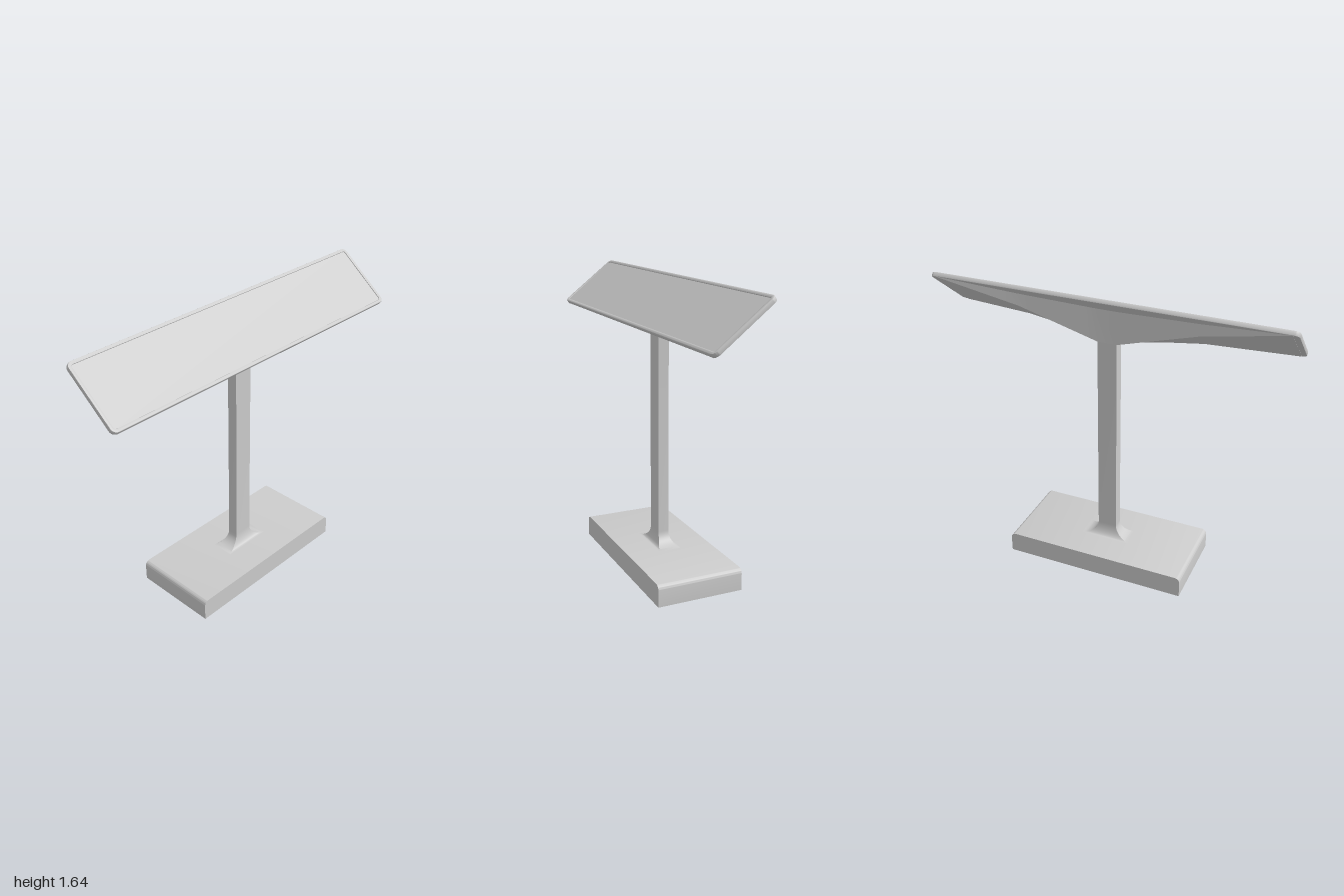
import * as THREE from 'three';
import { toCreasedNormals } from 'three/addons/utils/BufferGeometryUtils.js';

const material = new THREE.MeshStandardMaterial({ color: 0xcccccc });
const TILT = 0.666;                    // slope of the panel about z
const UNDER = { x: 0.0325, y: 1.505 }; // middle of the panel underside
const underY = (x) => UNDER.y - (x - UNDER.x) * Math.tan(TILT);

function mesh(name, geometry, crease = 0.5) {
  const m = new THREE.Mesh(toCreasedNormals(geometry, crease), material);
  m.name = name;
  return m;
}

// Skin a row of four-cornered cross-sections, closing both ends
function loft(sections) {
  const pos = [];
  const quad = (a, b, c, d) => pos.push(...a, ...b, ...c, ...a, ...c, ...d);
  for (let i = 0; i + 1 < sections.length; i++) {
    for (let k = 0; k < 4; k++) {
      const n = (k + 1) % 4;
      quad(sections[i][k], sections[i][n], sections[i + 1][n], sections[i + 1][k]);
    }
  }
  const first = sections[0], last = sections[sections.length - 1];
  quad(first[3], first[2], first[1], first[0]);
  quad(last[0], last[1], last[2], last[3]);
  const g = new THREE.BufferGeometry();
  g.setAttribute('position', new THREE.Float32BufferAttribute(pos, 3));
  g.computeVertexNormals();
  return g;
}

function roundedRect(Type, w, h, r) {
  const s = new Type(), x = w / 2, y = h / 2;
  s.moveTo(-x + r, -y);
  s.lineTo(x - r, -y);
  s.absarc(x - r, -y + r, r, -Math.PI / 2, 0);
  s.absarc(x - r, y - r, r, 0, Math.PI / 2);
  s.absarc(-x + r, y - r, r, Math.PI / 2, Math.PI);
  s.absarc(-x + r, -y + r, r, Math.PI, Math.PI * 1.5);
  return s;
}

// Base block, top edges rounded at its two ends only
function createBase() {
  const z = 0.53, h = 0.123, r = 0.03, w = 0.49;
  const s = new THREE.Shape();
  s.moveTo(-z, 0);
  s.lineTo(z, 0);
  s.lineTo(z, h - r);
  s.absarc(z - r, h - r, r, 0, Math.PI / 2);
  s.absarc(-z + r, h - r, r, Math.PI / 2, Math.PI);
  s.closePath();
  const g = new THREE.ExtrudeGeometry(s, { depth: w, bevelEnabled: false, curveSegments: 10 });
  g.translate(0, 0, -w / 2).rotateY(Math.PI / 2);
  return mesh('base', g);
}

// Rectangular post with a concave flare at the foot
function createPost() {
  const ring = (x, z, y) => [[-x, y, z], [x, y, z], [x, y, -z], [-x, y, -z]];
  const rings = [];
  for (let i = 0; i <= 12; i++) {
    const a = (i / 12) * Math.PI / 2, out = 1 - Math.sin(a);
    rings.push(ring(0.03 + 0.035 * out, 0.055 + 0.09 * out, 0.123 + 0.08 * (1 - Math.cos(a))));
  }
  rings.push(ring(0.03, 0.055, 1.37));
  return mesh('post', loft(rings));
}

// Bow-tie bracket, spreading from the post to the panel ends
function createBracket() {
  // z, left x, left y, right x, right y of the lower edge
  const half = [
    [0.055, -0.03, 1.37, 0.03, 1.37],
    [0.5, -0.06, 1.51, 0.06, 1.42],
    [0.97, -0.12, 1.624, 0.185, 1.384],
  ];
  const steps = 6, rows = [];
  for (let i = 0; i < 2; i++) {
    for (let k = i ? 1 : 0; k <= steps; k++) {
      rows.push(half[i].map((v, j) => THREE.MathUtils.lerp(v, half[i + 1][j], k / steps)));
    }
  }
  const mirrored = rows.map(([z, ...rest]) => [-z, ...rest]).reverse();
  const sections = [...mirrored, ...rows].map(([z, xl, yl, xr, yr]) => [
    [xl, yl, z], [xr, yr, z], [xr, underY(xr) + 0.002, z], [xl, underY(xl) + 0.002, z],
  ]);
  return mesh('bracket', loft(sections), 0.4);
}

// Tilted panel: a thin plate inside a slightly raised, bevelled rim
function createPanel() {
  const panel = new THREE.Group();
  panel.name = 'panel';
  const flat = (g) => g.rotateX(-Math.PI / 2);
  const plate = flat(new THREE.ExtrudeGeometry(roundedRect(THREE.Shape, 0.37, 1.98, 0.02),
    { depth: 0.02, bevelEnabled: false, curveSegments: 6 }));
  const outline = roundedRect(THREE.Shape, 0.388, 2, 0.03);
  outline.holes.push(roundedRect(THREE.Path, 0.35, 1.962, 0.012));
  const bevel = 0.004;
  const rim = flat(new THREE.ExtrudeGeometry(outline, {
    depth: 0.025 - 2 * bevel, bevelThickness: bevel, bevelSize: bevel,
    bevelOffset: -bevel, bevelSegments: 2, curveSegments: 6,
  }).translate(0, 0, bevel));
  panel.add(mesh('panelPlate', plate), mesh('panelRim', rim));
  panel.position.set(UNDER.x, UNDER.y, 0);
  panel.rotation.z = -TILT;
  return panel;
}

export function createModel() {
  const model = new THREE.Group();
  model.name = 'tiltedPanelStand';
  model.add(createBase(), createPost(), createBracket(), createPanel());
  return model;
}
